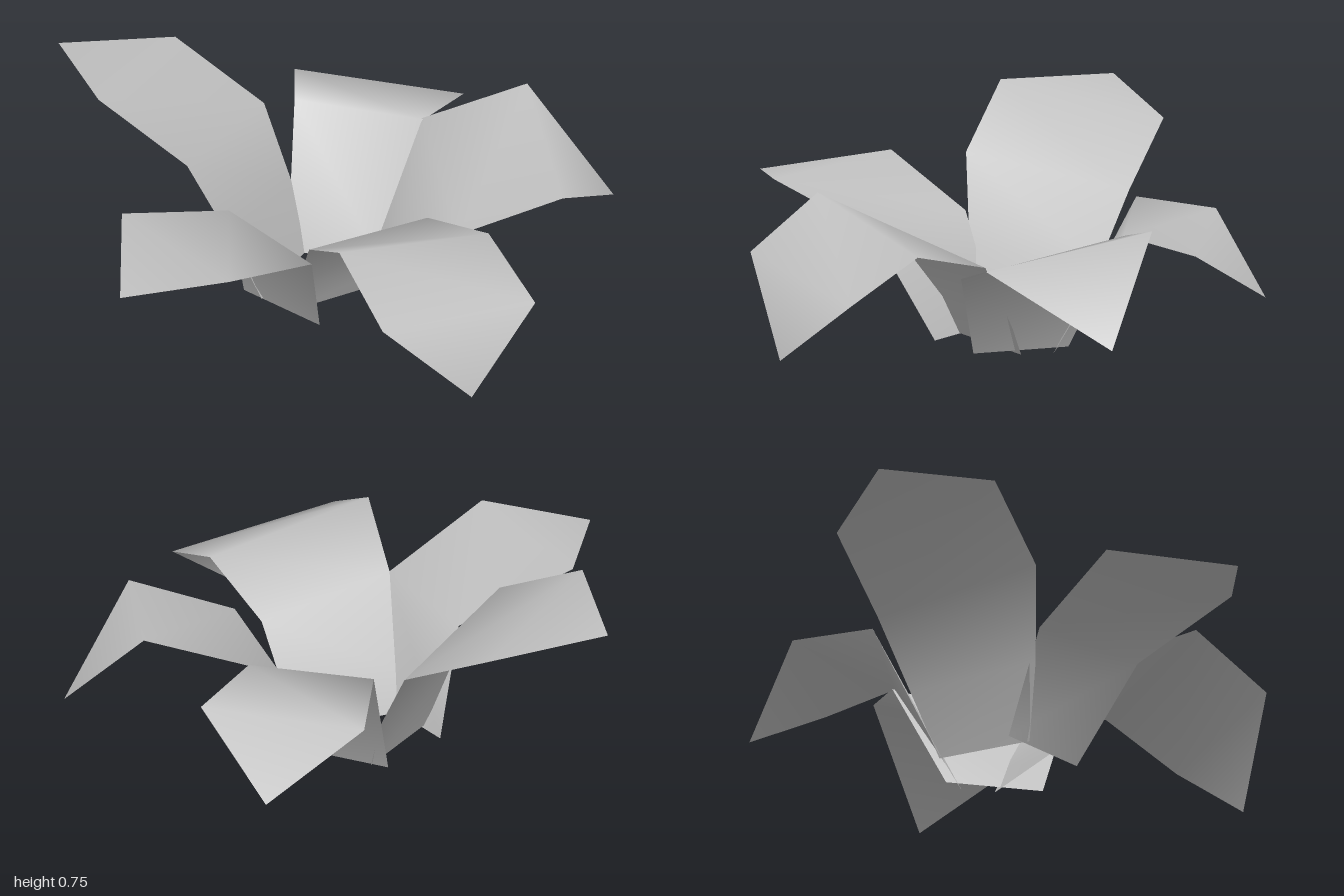
import * as THREE from 'three';

// Each petal is a strip of cross-sections from base to shoulder: [left edge, right edge], closed by a pointed tip.
const PETALS = {
  rightSidePetal: {
    rows: [
      [[-0.11, 0.01, 0.1], [-0.11, 0.01, -0.25]],
      [[-0.2, 0.27, 0.165], [-0.2, 0.24, -0.32]],
      [[-0.34, 0.575, 0.23], [-0.34, 0.49, -0.385]],
      [[-0.69, 0.755, 0.23], [-0.69, 0.67, -0.385]],
    ],
    tip: [-1, 0.73, -0.08],
  },
  backPetal: {
    rows: [
      [[-0.17, 0.01, -0.23], [0.17, 0.01, -0.29]],
      [[-0.25, 0.495, -0.446], [0.2, 0.47, -0.565]],
      [[-0.375, 0.445, -0.7], [0.22, 0.425, -0.845]],
    ],
    tip: [-0.14, 0.2, -0.975],
  },
  backLeftPetal: {
    rows: [
      [[0.1, 0.02, -0.32], [0.31, 0.02, -0.04]],
      [[0.19, 0.47, -0.57], [0.57, 0.36, -0.09]],
      [[0.5, 0.58, -0.785], [0.88, 0.48, -0.3]],
    ],
    tip: [0.85, 0.225, -0.765],
  },
  frontLeftPetal: {
    rows: [
      [[0.23, 0.01, -0.19], [0.02, 0.01, 0.12]],
      [[0.29, 0.12, -0.18], [0.06, 0.15, 0.17]],
      [[0.43, 0.37, -0.13], [0.19, 0.43, 0.33]],
      [[0.74, 0.47, 0.01], [0.4, 0.58, 0.515]],
      [[1, 0.34, 0.165], [0.65, 0.41, 0.675]],
    ],
    tip: [0.9, 0.09, 0.47],
  },
  frontPetal: {
    rows: [
      [[0.15, 0.01, 0.165], [-0.2, 0, 0.06]],
      [[0.22, 0.4, 0.37], [-0.2, 0.4, 0.18]],
      [[0.1, 0.53, 0.79], [-0.44, 0.53, 0.55]],
    ],
    tip: [-0.24, 0.47, 0.97],
  },
};

function petalGeometry({ rows, tip }) {
  const positions = [...rows.flat(2), ...tip];
  const index = [];
  for (let i = 0; i < rows.length - 1; i++) {
    const a = i * 2;
    index.push(a, a + 1, a + 2, a + 1, a + 3, a + 2);
  }
  // pointed end
  const n = rows.length * 2;
  index.push(n - 2, n - 1, n);

  const geometry = new THREE.BufferGeometry();
  geometry.setAttribute('position', new THREE.Float32BufferAttribute(positions, 3));
  geometry.setIndex(index);
  geometry.computeVertexNormals();
  return geometry;
}

export function createModel() {
  const group = new THREE.Group();
  group.name = 'flower';
  const petalGrey = new THREE.MeshStandardMaterial({ color: 0xc0c0c0, side: THREE.DoubleSide });
  petalGrey.name = 'petalGrey';

  for (const [name, shape] of Object.entries(PETALS)) {
    const petal = new THREE.Mesh(petalGeometry(shape), petalGrey);
    petal.name = name;
    group.add(petal);
  }
  return group;
}
